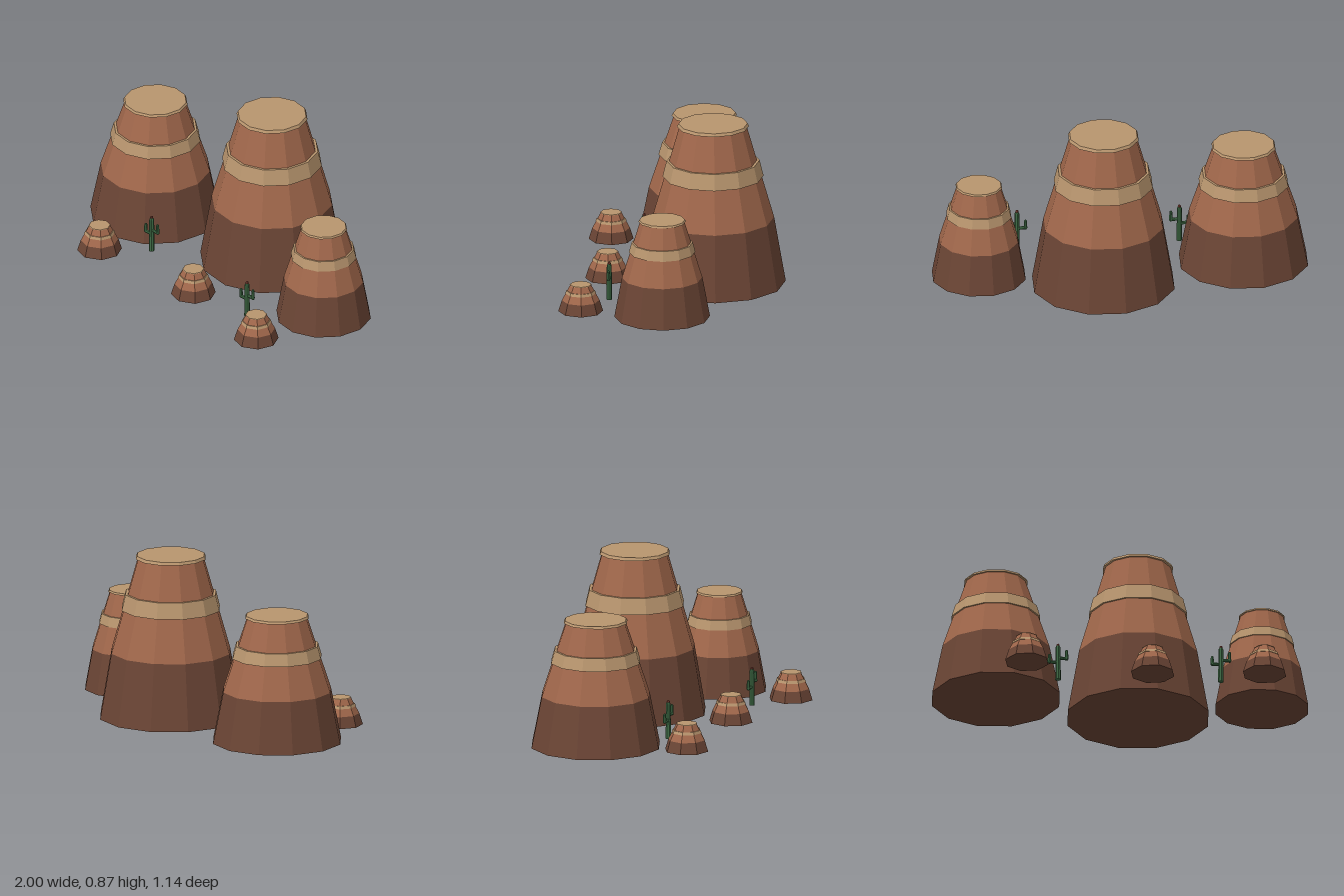
import * as THREE from 'three';

const mat = (name, color) => {
  const m = new THREE.MeshStandardMaterial({ color, flatShading: true });
  m.name = name;
  return m;
};

export function createModel() {
  const darkRock = mat('dark rock', 0x6b4535);
  const redRock = mat('red rock', 0xa0674b);
  const sandRock = mat('sand rock', 0xb8956e);
  const cactusGreen = mat('cactus green', 0x3f6b45);
  const fruitRed = mat('fruit red', 0x7d4034);

  const add = (parent, name, geometry, material, x = 0, y = 0, z = 0) => {
    const mesh = new THREE.Mesh(geometry, material);
    mesh.name = name;
    mesh.position.set(x, y, z);
    parent.add(mesh);
    return mesh;
  };

  // Layered rock: dark foot, red upper body, sand band and sand cap
  function rock(name, x, z, r, h, sides) {
    const g = new THREE.Group();
    g.name = name;
    const layer = (part, y0, y1, r0, r1, material) => add(g, part,
      new THREE.CylinderGeometry(r1 * r, r0 * r, (y1 - y0) * h, sides),
      material, 0, (y0 + y1) / 2 * h, 0);
    layer('foot', 0, 0.405, 1, 0.84, darkRock);
    layer('upperBody', 0.405, 0.985, 0.84, 0.46, redRock);
    layer('band', 0.667, 0.765, 0.695, 0.64, sandRock);
    layer('cap', 0.982, 1, 0.495, 0.475, sandRock);
    g.position.set(x, 0, z);
    g.rotation.y = 0.13;
    return g;
  }

  // Cactus: trunk, two raised arms at different heights and a small fruit
  function cactus(name, x, z) {
    const g = new THREE.Group();
    g.name = name;
    add(g, 'trunk', new THREE.CylinderGeometry(0.013, 0.015, 0.185, 8), cactusGreen, 0, 0.0925);
    add(g, 'trunkTop', new THREE.SphereGeometry(0.013, 8, 4, 0, Math.PI * 2, 0, Math.PI / 2),
      cactusGreen, 0, 0.185);
    add(g, 'fruit', new THREE.SphereGeometry(0.009, 7, 5), fruitRed, 0, 0.199);
    for (const [side, low, high] of [[-1, 0.1, 0.138], [1, 0.125, 0.168]]) {
      const ax = side * 0.046;
      const bar = add(g, 'armBar', new THREE.CylinderGeometry(0.009, 0.009, 0.046, 7),
        cactusGreen, ax / 2, low);
      bar.rotation.z = Math.PI / 2;
      add(g, 'armElbow', new THREE.SphereGeometry(0.0105, 7, 5), cactusGreen, ax, low);
      add(g, 'armTip', new THREE.CylinderGeometry(0.008, 0.01, high - low, 7),
        cactusGreen, ax, (low + high) / 2);
      add(g, 'armTop', new THREE.SphereGeometry(0.008, 7, 5), cactusGreen, ax, high);
    }
    g.position.set(x, 0, z);
    return g;
  }

  const model = new THREE.Group();
  model.name = 'desertButtes';
  model.add(
    rock('centreButte', 0.12, -0.19, 0.383, 0.872, 12),
    rock('rightButte', -0.655, -0.067, 0.347, 0.68, 12),
    rock('leftButte', 0.748, 0.017, 0.252, 0.533, 12),
    rock('rightBoulder', -0.562, 0.417, 0.118, 0.147, 8),
    rock('centreBoulder', 0.115, 0.368, 0.118, 0.147, 8),
    rock('leftBoulder', 0.698, 0.453, 0.118, 0.147, 8),
    cactus('rightCactus', -0.367, 0.223),
    cactus('leftCactus', 0.485, 0.323),
  );
  return model;
}
